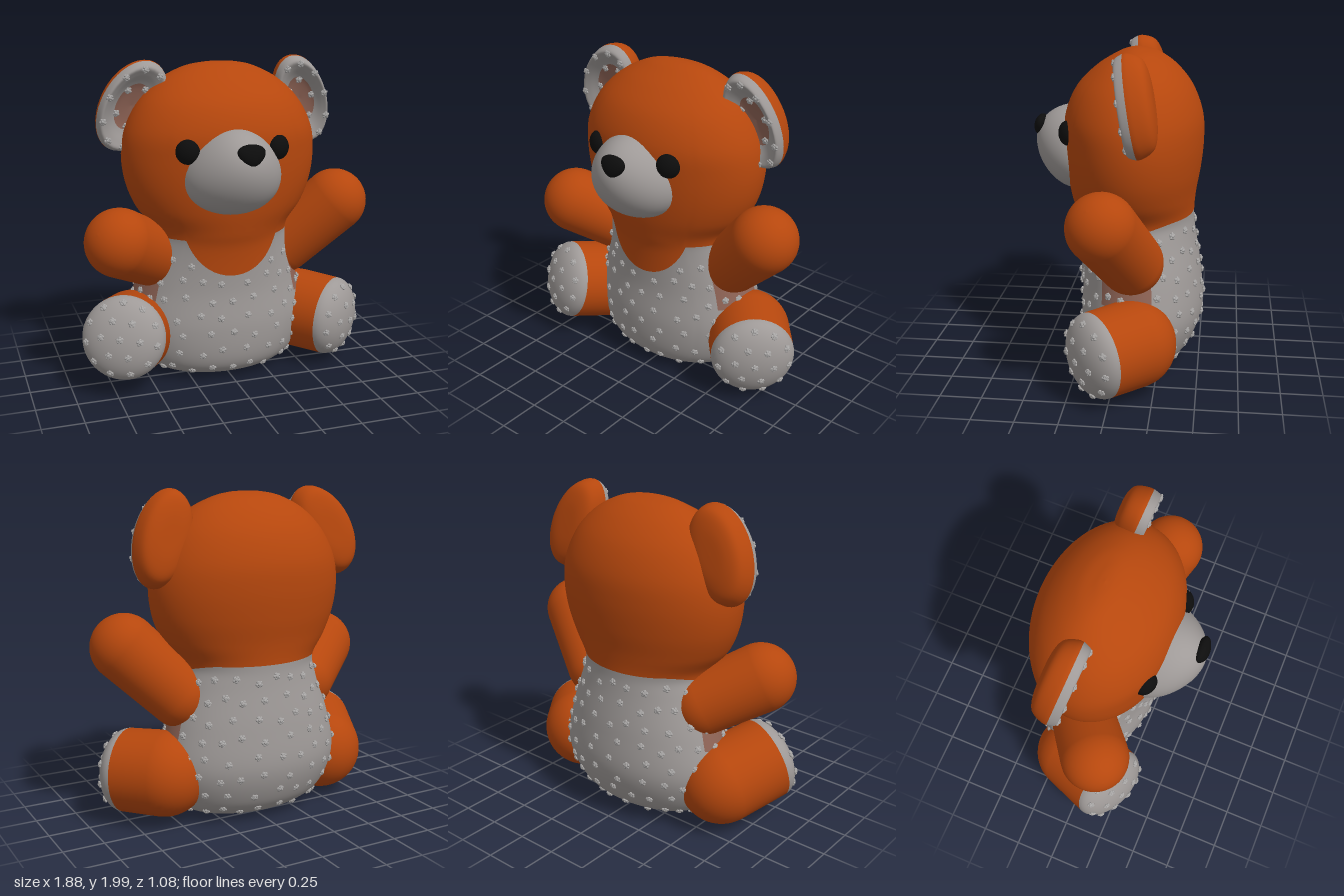
import * as THREE from 'three';
import { mergeGeometries } from 'three/addons/utils/BufferGeometryUtils.js';

const V = (x, y, z) => new THREE.Vector3(x, y, z);

function mat(name, color) {
  const m = new THREE.MeshStandardMaterial({ color });
  m.name = name;
  return m;
}

function mesh(name, geometry, material) {
  const m = new THREE.Mesh(geometry, material);
  m.name = name;
  return m;
}

// Torso and head profile: height, half width, front z, back z
const PROFILE = [
  [0, 0, -0.1, -0.1], [0.008, 0.24, 0.06, -0.24], [0.05, 0.41, 0.17, -0.355],
  [0.15, 0.52, 0.23, -0.45], [0.35, 0.58, 0.25, -0.515], [0.6, 0.53, 0.235, -0.5],
  [0.85, 0.455, 0.25, -0.46], [0.97, 0.44, 0.28, -0.45], [1.1, 0.53, 0.31, -0.46],
  [1.25, 0.59, 0.33, -0.485], [1.42, 0.61, 0.34, -0.5], [1.58, 0.585, 0.338, -0.49],
  [1.74, 0.5, 0.272, -0.43], [1.86, 0.375, 0.155, -0.335], [1.935, 0.23, 0.035, -0.23],
  [1.963, 0.11, -0.035, -0.14], [1.97, 0, -0.09, -0.09],
];
const curveA = new THREE.CatmullRomCurve3(PROFILE.map(p => V(p[1], p[0], p[2])), false, 'catmullrom');
const curveB = new THREE.CatmullRomCurve3(PROFILE.map(p => V(p[3], 0, 0)), false, 'catmullrom');

function bodyPoint(theta, t) {
  const a = curveA.getPoint(t), back = curveB.getPoint(t).x;
  return V(Math.max(a.x, 0) * Math.sin(theta) - 0.01, a.y,
    (a.z + back) / 2 + (a.z - back) / 2 * Math.cos(theta));
}

// Curve parameter for a given height
function paramAt(y) {
  let lo = 0, hi = 1;
  for (let i = 0; i < 24; i++) {
    const mid = (lo + hi) / 2;
    if (curveA.getPoint(mid).y < y) lo = mid; else hi = mid;
  }
  return lo;
}

// Angle away from the front, 0 to PI
const sideAngle = theta => Math.abs(Math.atan2(Math.sin(theta), Math.cos(theta)));

// Neckline: a low round bib at the front, high across the back
function neckline(theta) {
  const a = sideAngle(theta);
  return 0.7 + 0.23 * Math.min(1, (a / 0.72) ** 2) + 0.05 * THREE.MathUtils.smoothstep(a, 1.5, 2.4);
}

// Closed loft from rings; range(theta) gives the start and end parameters,
// and faces picked by accent(theta, y) go to a second material group
function loft(range, accent = () => false, cols = 96, rows = 56) {
  const pos = [], plain = [], accented = [];
  for (let i = 0; i < cols; i++) {
    const theta = i / cols * Math.PI * 2, [t0, t1] = range(theta);
    for (let j = 0; j <= rows; j++) pos.push(...bodyPoint(theta, t0 + (t1 - t0) * j / rows).toArray());
  }
  for (let i = 0; i < cols; i++) for (let j = 0; j < rows; j++) {
    const a = i * (rows + 1) + j, b = ((i + 1) % cols) * (rows + 1) + j;
    const list = accent((i + 0.5) / cols * Math.PI * 2, pos[a * 3 + 1]) ? accented : plain;
    list.push(a, b, b + 1, a, b + 1, a + 1);
  }
  const g = new THREE.BufferGeometry();
  g.setAttribute('position', new THREE.Float32BufferAttribute(pos, 3));
  g.setIndex([...plain, ...accented]);
  g.addGroup(0, plain.length, 0);
  g.addGroup(plain.length, accented.length, 1);
  g.computeVertexNormals();
  return g;
}

// Small flat five-petalled stud, its axis along y
function studGeometry() {
  const parts = [new THREE.IcosahedronGeometry(0.014, 0).scale(1, 0.7, 1).translate(0, 0.009, 0)];
  for (let i = 0; i < 5; i++) {
    const a = i / 5 * Math.PI * 2;
    parts.push(new THREE.IcosahedronGeometry(0.012, 0).scale(1, 0.7, 1)
      .translate(0.013 * Math.cos(a), 0.005, 0.013 * Math.sin(a)));
  }
  return mergeGeometries(parts);
}

// One mesh of studs from [position, normal] pairs
function studs(name, spots, material) {
  const base = studGeometry();
  return mesh(name, mergeGeometries(spots.map(([p, n]) => {
    const q = new THREE.Quaternion().setFromUnitVectors(V(0, 1, 0), n.clone().normalize());
    return base.clone().applyMatrix4(new THREE.Matrix4().compose(p, q, V(1, 1, 1)));
  })), material);
}

// Elliptical arc of a limb outline, radius r, height h, from angle a0 to a1 about height y
function arc(r, h, y, a0, a1, n = 14) {
  return Array.from({ length: n + 1 }, (_, i) => {
    const a = a0 + (a1 - a0) * i / n;
    return new THREE.Vector2(Math.max(r * Math.cos(a), 0), y + h * Math.sin(a));
  });
}

// Group whose y axis runs from one point towards another
function limbGroup(name, from, to) {
  const g = new THREE.Group();
  g.name = name;
  g.position.copy(from);
  g.quaternion.setFromUnitVectors(V(0, 1, 0), to.clone().sub(from).normalize());
  return g;
}

// Sphere reshaped by a rule on its unit coordinates
function shapedSphere(rule) {
  const g = new THREE.SphereGeometry(1, 40, 28), p = g.attributes.position;
  for (let i = 0; i < p.count; i++) p.setXYZ(i, ...rule(p.getX(i), p.getY(i), p.getZ(i)));
  g.computeVertexNormals();
  return g;
}

export function createModel() {
  const fur = mat('orange fur', 0xb6470d), cloth = mat('grey cloth', 0x9f9a98), metal = mat('stud grey', 0xa8a6a5);
  const black = mat('black', 0x0d0d0d), blend = mat('faded brown', 0x8f6456);
  const bear = new THREE.Group();
  bear.name = 'teddyBear';
  const H = Math.PI / 2;

  // Suit with faded armholes, then neck and head in one continuous surface
  const split = theta => paramAt(neckline(theta));
  const armhole = (theta, y) => y > 0.5 && y < 0.78 && sideAngle(theta) > 0.98 && sideAngle(theta) < 1.8;
  bear.add(mesh('suit', loft(theta => [0, split(theta)], armhole), [cloth, blend]));
  bear.add(mesh('headAndNeck', loft(theta => [split(theta), 1]), [fur, fur]));

  // Staggered rows of studs on the suit
  const bodySpots = [];
  for (let row = 0; row < 8; row++) for (let k = 0; k < 23; k++) {
    const theta = (k + (row % 2) / 2 + 0.15 * Math.sin(k * 5 + row * 3)) / 23 * Math.PI * 2;
    const y = 0.09 + row * 0.115 + 0.02 * Math.sin(k * 2.3 + row);
    if (y > neckline(theta) - 0.04) continue;
    const t = paramAt(y), p = bodyPoint(theta, t);
    const du = bodyPoint(theta + 0.01, t).sub(p), dv = bodyPoint(theta, t + 0.005).sub(p);
    bodySpots.push([p, du.cross(dv)]);
  }
  bear.add(studs('suitStuds', bodySpots, metal));

  // Muzzle, narrower to the top and front, fuller under the nose
  const muzzle = mesh('muzzle', shapedSphere((x, y, z) =>
    [x * 0.295 * (1 - 0.17 * y) * (1 - 0.18 * Math.max(z, 0)), y * 0.26, z * 0.26 * (1 + 0.15 * y)]), cloth);
  muzzle.position.set(-0.03, 1.36, 0.27);
  bear.add(muzzle);

  // Nose, a rounded triangle
  const nose = mesh('nose', shapedSphere((x, y, z) => [x * 0.08 * (1 + 0.3 * y), y * 0.065, z * 0.04]), black);
  nose.position.set(0, 1.49, 0.5);
  nose.rotation.x = -0.2;
  bear.add(nose);

  // Eyes
  for (const [name, x, z, turn] of [['rightEye', -0.31, 0.275, -0.5], ['leftEye', 0.24, 0.295, 0.45]]) {
    const eye = mesh(name, new THREE.SphereGeometry(0.073, 24, 16).scale(1, 1.02, 0.75), black);
    eye.position.set(x, 1.49, z);
    eye.rotation.y = turn;
    bear.add(eye);
  }

  // Ears: domed furry back, dished cloth front with a faded middle and studs
  const outline = new THREE.SplineCurve([[0, -0.12], [0.5, -0.115], [0.85, -0.085], [1, -0.01], [0.98, 0.04],
    [0.9, 0.07], [0.75, 0.055], [0.45, 0.015], [0, 0]].map(p => new THREE.Vector2(...p))).getPoints(48);
  outline.forEach(p => { p.x = Math.max(p.x, 0); });
  outline[0].x = outline[48].x = 0;
  for (const [name, s, w, tilt] of [['rightEar', -1, 0.19, 0.48], ['leftEar', 1, 0.168, 0.36]]) {
    const ear = new THREE.Group();
    ear.name = name;
    const earPart = pts => new THREE.LatheGeometry(pts, 40).rotateX(H).scale(w, 0.295, 1);
    ear.add(mesh('earBack', earPart(outline.slice(0, 22)), fur));
    ear.add(mesh('earFront', earPart(outline.slice(21, 42)), cloth));
    ear.add(mesh('earMiddle', earPart(outline.slice(41)), blend));
    const spots = [];
    for (const [r, n] of [[0.45, 5], [0.86, 10]]) for (let i = 0; i < n; i++) {
      const a = i / n * Math.PI * 2;
      spots.push([V(r * w * Math.cos(a), r * 0.295 * Math.sin(a), r > 0.5 ? 0.066 : 0.014), V(0, 0, 1)]);
    }
    ear.add(studs('earStuds', spots, metal));
    ear.position.set(s * 0.545, 1.715, -0.12);
    ear.rotation.set(0.18, 0, s * tilt);
    bear.add(ear);
  }

  // Arms, raised to different heights
  for (const [name, from, to, r] of [
    ['rightArm', V(-0.42, 0.77, -0.1), V(-0.69, 0.935, 0.11), 0.21],
    ['leftArm', V(0.44, 0.77, -0.1), V(0.735, 1.07, 0.035), 0.203]]) {
    const arm = limbGroup(name, from, to), L = from.distanceTo(to), root = r * 0.95;
    arm.add(mesh('sleeve', new THREE.LatheGeometry([...arc(root, root, 0, -H, 0), ...arc(r, r, L, 0, H)], 40), fur));
    bear.add(arm);
  }

  // Stout legs with softly domed, studded foot pads of height h
  for (const [name, from, to, r, h] of [
    ['rightLeg', V(-0.57, 0.285, -0.1), V(-0.695, 0.365, 0.19), 0.255, 0.13],
    ['leftLeg', V(0.555, 0.305, -0.12), V(0.715, 0.295, 0.07), 0.255, 0.14]]) {
    const leg = limbGroup(name, from, to), L = from.distanceTo(to);
    leg.add(mesh('thigh', new THREE.LatheGeometry([...arc(0.26, 0.26, 0, -H, 0), new THREE.Vector2(r, L)], 44), fur));
    leg.add(mesh('footPad', new THREE.LatheGeometry(arc(r, h, L, 0, H), 44), cloth));
    const spots = [];
    for (const [polar, n] of [[0, 1], [0.48, 6], [1.0, 11]]) for (let i = 0; i < n; i++) {
      const a = (i + polar) / n * Math.PI * 2, out = Math.sin(polar), up = Math.cos(polar);
      spots.push([V(r * out * Math.cos(a), L + h * up, r * out * Math.sin(a)),
        V(out / r * Math.cos(a), up / h, out / r * Math.sin(a))]);
    }
    leg.add(studs('footStuds', spots, metal));
    bear.add(leg);
  }
  return bear;
}
